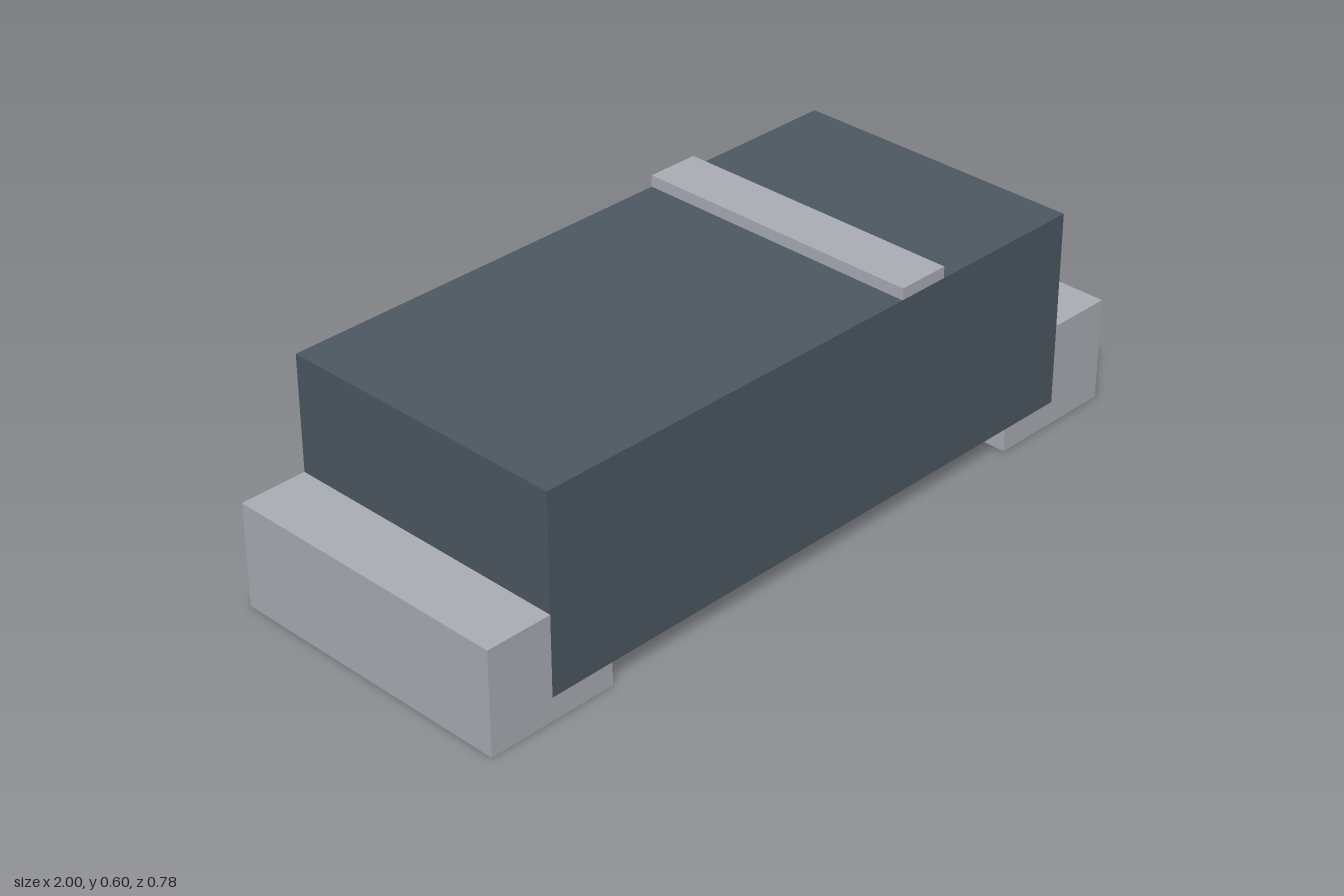
import * as THREE from 'three';

const DEPTH = 0.78;

export function createModel() {
  const group = new THREE.Group();
  const bodyMaterial = new THREE.MeshStandardMaterial({ color: 0x4e5962 });
  bodyMaterial.name = 'dark slate';
  const metalMaterial = new THREE.MeshStandardMaterial({ color: 0xabaeb6 });
  metalMaterial.name = 'pale metal';

  const add = (name, geometry, material) => {
    const mesh = new THREE.Mesh(geometry, material);
    mesh.name = name;
    group.add(mesh);
    return mesh;
  };

  // Rectangular component body
  add('body', new THREE.BoxGeometry(1.65, 0.51, DEPTH), bodyMaterial).position.y = 0.315;

  // Raised polarity band across the top
  add('polarityBand', new THREE.BoxGeometry(0.14, 0.03, DEPTH), metalMaterial).position.set(0.327, 0.585, 0);

  // L-shaped end terminals, each with a foot tucked under the body
  const profile = new THREE.Shape([
    [0.65, 0], [1, 0], [1, 0.27], [0.825, 0.27], [0.825, 0.06], [0.65, 0.06],
  ].map(([x, y]) => new THREE.Vector2(x, y)));
  const terminal = new THREE.ExtrudeGeometry(profile, { depth: DEPTH, bevelEnabled: false });
  terminal.translate(0, 0, -DEPTH / 2);
  add('leftTerminal', terminal, metalMaterial);
  add('rightTerminal', terminal, metalMaterial).rotation.y = Math.PI;

  return group;
}
